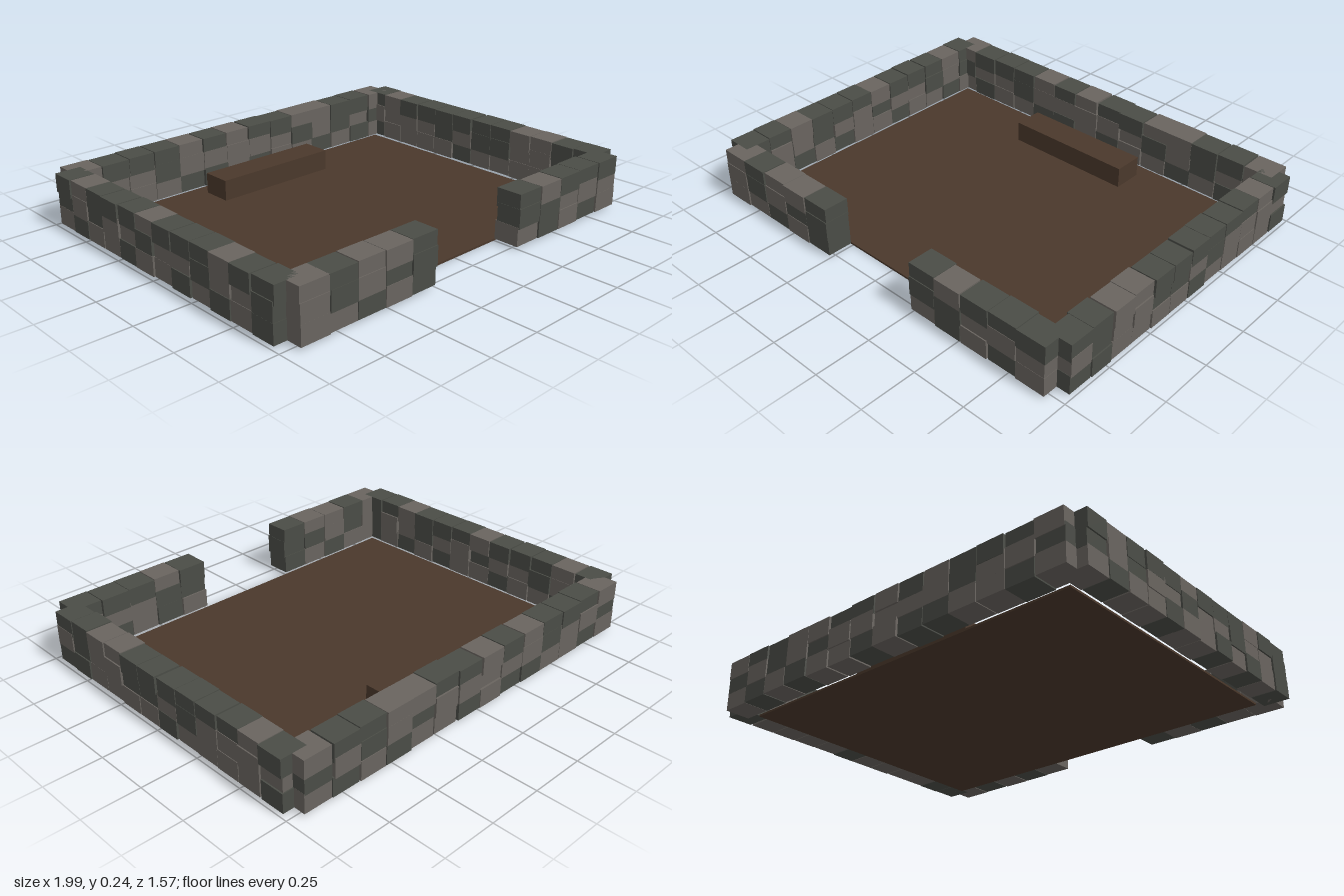
import * as THREE from 'three';

export function createModel() {
  const model = new THREE.Group();
  model.name = 'ruinedFoundation';

  const material = (name, color) => {
    const m = new THREE.MeshStandardMaterial({ color });
    m.name = name;
    return m;
  };
  const stones = {
    D: material('darkStone', 0x4a4c46),
    L: material('lightStone', 0x69645f),
  };
  const earth = material('brownEarth', 0x4a382b);

  // Seeded jitter in the range -a..a
  let seed = 7;
  const jitter = (a) => {
    seed = (seed * 16807) % 2147483647;
    return (seed / 2147483647 * 2 - 1) * a;
  };

  const addBox = (parent, name, mat, size, pos) => {
    const mesh = new THREE.Mesh(new THREE.BoxGeometry(...size), mat);
    mesh.name = name;
    mesh.position.set(...pos);
    parent.add(mesh);
    return mesh;
  };

  // Bottom and top of each course, the courses overlap slightly
  const courses = [[0.012, 0.097], [0.09, 0.178], [0.16, 0.242]];

  // A wall of stones along x or z; rows hold stone colours from low to high coordinate
  const addWall = (name, axis, from, to, across, rows) => {
    const wall = new THREE.Group();
    wall.name = name;
    rows.forEach((row, i) => {
      const [bottom, top] = courses[i];
      const pitch = (to - from) / row.length;
      [...row].forEach((tone, k) => {
        const along = from + pitch * (k + 0.5) + jitter(0.003);
        const side = across + jitter(0.004);
        const length = pitch - 0.004 + jitter(0.004);
        const depth = 0.118 + jitter(0.003);
        const height = top - bottom;
        const y = (top + bottom) / 2;
        if (axis === 'x') {
          addBox(wall, 'stone', stones[tone], [length, height, depth], [along, y, side]);
        } else {
          addBox(wall, 'stone', stones[tone], [depth, height, length], [side, y, along]);
        }
      });
    });
    model.add(wall);
  };

  // Side walls, back to front
  addWall('leftWall', 'z', -0.725, 0.715, 0.93, [
    'DLLLLDLLLLDD', 'LLLLDLDDLLDL', 'DLDDDDDDLLDD']);
  addWall('rightWall', 'z', -0.725, 0.715, -0.93, [
    'LDLLDLLDLDLD', 'DLDLLDLLDLLD', 'DLDDDLDDDLDD']);

  // Back wall, right to left
  addWall('backWall', 'x', -0.94, 0.94, -0.722, [
    'LDLLDDLDLLDLDL', 'DLLDLLLLLDLDLD', 'LDDDLDLDDLLDDL']);

  // Front wall, split by the entrance
  addWall('frontWallRight', 'x', -0.935, -0.247, 0.722, ['LLDLD', 'LDLDD', 'LDLLD']);
  addWall('frontWallLeft', 'x', 0.245, 0.93, 0.722, ['LDLDL', 'DDLLL', 'DLDDD']);

  // Floor slab and the low bench near the back
  addBox(model, 'floor', earth, [1.725, 0.009, 1.315], [-0.003, 0.0045, -0.003]);
  addBox(model, 'bench', earth, [0.614, 0.1, 0.14], [-0.002, 0.055, -0.52]);

  return model;
}
